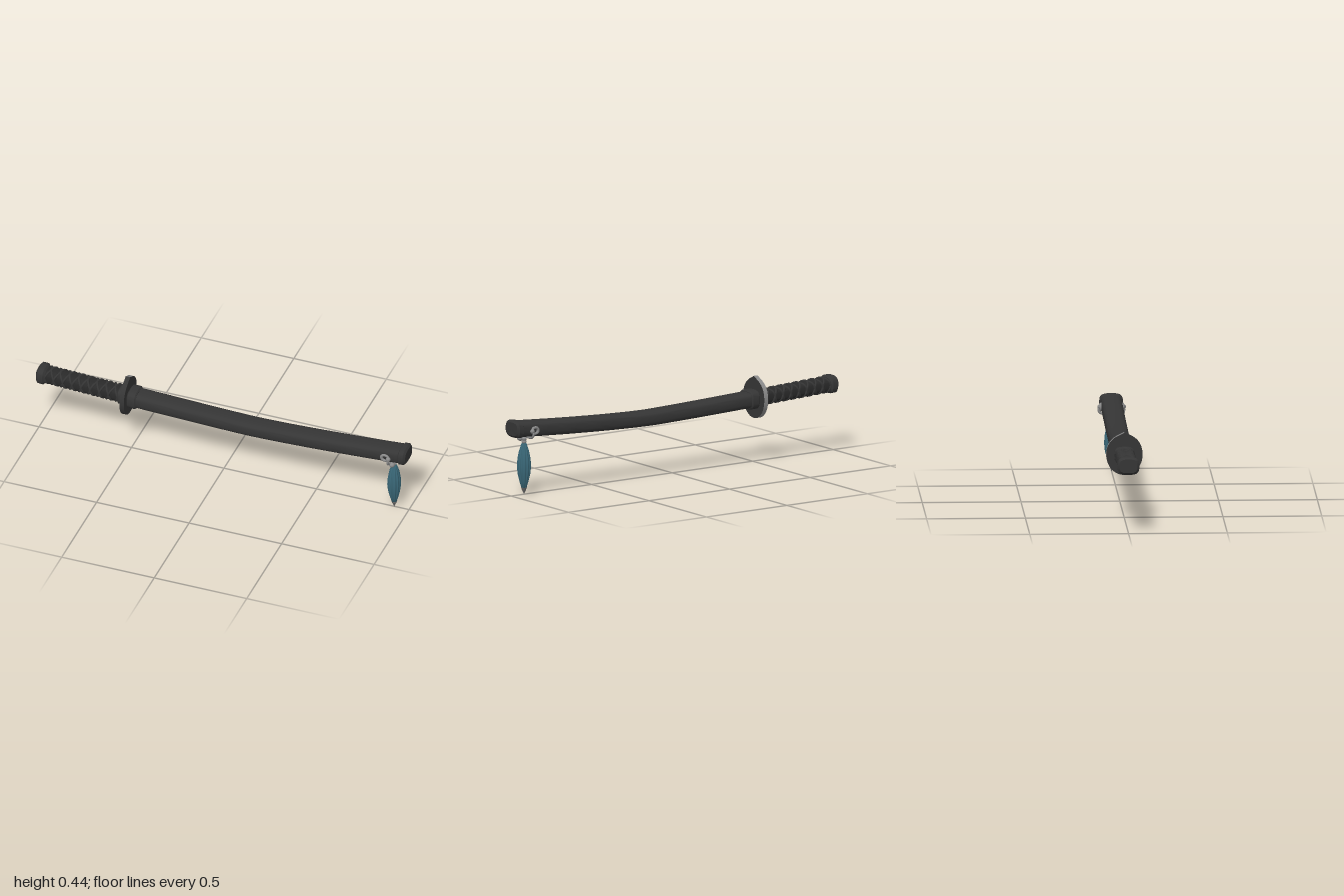
import * as THREE from 'three';
import { toCreasedNormals } from 'three/addons/utils/BufferGeometryUtils.js';

const mat = (name, color, side = THREE.FrontSide) => {
  const m = new THREE.MeshStandardMaterial({ color, side });
  m.name = name;
  return m;
};

// height of the curved centre line at x
const centreY = (x) => x < 0.15
  ? 0.304 + 0.0344 * Math.pow(0.15 - x, 1.25)
  : 0.304 + 0.0536 * Math.pow(x - 0.15, 1.5);

// point on a rounded rectangular cross-section
function sectionPoint(x, angle, halfH, halfW, power = 3.2) {
  const c = Math.cos(angle), s = Math.sin(angle);
  const z = Math.sign(c) * Math.pow(Math.abs(c), 2 / power) * halfW;
  const y = Math.sign(s) * Math.pow(Math.abs(s), 2 / power) * halfH;
  return new THREE.Vector3(x, centreY(x) + y, z);
}

// skin through sections [x, halfHeight, halfWidth], closed at both ends
function loft(sections, crease = 0.7) {
  const n = 32, pos = [], index = [];
  const first = sections[0], last = sections[sections.length - 1];
  const rings = [[first[0], 0, 0], ...sections, [last[0], 0, 0]];
  rings.forEach(([x, h, w]) => {
    for (let j = 0; j < n; j++) pos.push(...sectionPoint(x, (j / n) * Math.PI * 2, h, w).toArray());
  });
  for (let i = 0; i < rings.length - 1; i++) {
    for (let j = 0; j < n; j++) {
      const k = (j + 1) % n, a = i * n + j, b = a + n, c = i * n + k, d = c + n;
      index.push(a, b, c, c, b, d);
    }
  }
  const g = new THREE.BufferGeometry();
  g.setAttribute('position', new THREE.Float32BufferAttribute(pos, 3));
  g.setIndex(index);
  return toCreasedNormals(g, crease);
}

// band with softened edges
const band = (x0, x1, h, w, b = 0.006) => loft([
  [x0, h - b, w - b], [x0 + b, h, w], [x1 - b, h, w], [x1, h - b, w - b],
]);

export function createModel() {
  const group = new THREE.Group();
  const black = mat('charcoal lacquer', 0x353535);
  const core = mat('dark grip', 0x2a2a2a);
  const grey = mat('grey cord', 0x8a8a8a);
  const tip = mat('tassel tip grey', 0x6c6c6c);
  const teal = mat('teal tassel', 0x3a6878);
  const add = (name, geometry, material, parent = group) => {
    const m = new THREE.Mesh(geometry, material);
    m.name = name;
    parent.add(m);
    return m;
  };

  // sheath and its fittings
  const sheath = [];
  for (let i = 0; i <= 30; i++) sheath.push([-0.47 + (1.44 * i) / 30, 0.0385 + 0.002 * Math.abs(i - 15) / 15, 0.054]);
  add('sheath', loft(sheath), black);
  add('sheathMouth', band(-0.507, -0.458, 0.049, 0.06), black);
  add('sheathEndCap', band(0.953, 0.998, 0.044, 0.06, 0.01), black);

  // handle core and fittings
  const grip = [];
  for (let i = 0; i <= 10; i++) grip.push([-0.97 + 0.044 * i, 0.036, 0.042]);
  add('gripCore', loft(grip), core);
  add('pommel', band(-1, -0.952, 0.045, 0.055, 0.01), black);
  add('handleCollar', band(-0.562, -0.528, 0.043, 0.052), black);

  // crossing wraps on the handle
  const wraps = new THREE.Group();
  wraps.name = 'handleWraps';
  group.add(wraps);
  for (const dir of [-1, 1]) {
    for (const start of [0, Math.PI]) {
      const pts = [];
      for (let i = 0; i <= 96; i++) {
        const t = i / 96;
        pts.push(sectionPoint(-0.955 + 0.395 * t, start + dir * t * 4 * Math.PI * 2, 0.036, 0.0425, 2.8));
      }
      add('wrap', new THREE.TubeGeometry(new THREE.CatmullRomCurve3(pts), 200, 0.0065, 6), black, wraps);
    }
  }

  // egg-shaped guard with a pointed top, its back rim bare metal
  const s = new THREE.Shape();
  s.moveTo(0, 0.44);
  s.bezierCurveTo(0.022, 0.424, 0.092, 0.412, 0.092, 0.328);
  s.bezierCurveTo(0.092, 0.268, 0.052, 0.223, 0, 0.223);
  s.bezierCurveTo(-0.052, 0.223, -0.092, 0.268, -0.092, 0.328);
  s.bezierCurveTo(-0.092, 0.412, -0.022, 0.424, 0, 0.44);
  const guard = new THREE.ExtrudeGeometry(s, { depth: 0.024, bevelEnabled: false, curveSegments: 20 });
  const gp = guard.attributes.position, gn = guard.attributes.normal;
  guard.clearGroups();
  for (let i = 0; i < gp.count; i += 3) {
    const backRim = Math.abs(gn.getZ(i)) < 0.5 && gp.getX(i) + gp.getX(i + 1) + gp.getX(i + 2) > 0;
    guard.addGroup(i, 3, backRim ? 1 : 0);
  }
  guard.rotateY(Math.PI / 2);
  guard.translate(-0.531, 0, 0);
  add('guard', guard, [black, grey]);

  // cord slung under the sheath, with a ring and knot on each side
  const cord = new THREE.Group();
  cord.name = 'cord';
  group.add(cord);
  const sling = [[0.34, 0.058], [0.315, 0.063], [0.299, 0.055], [0.296, 0], [0.299, -0.052], [0.312, -0.066], [0.34, -0.062]]
    .map(([y, z]) => new THREE.Vector3(0.908, y, z));
  add('sling', new THREE.TubeGeometry(new THREE.CatmullRomCurve3(sling), 48, 0.006, 8), grey, cord);
  for (const side of [-1, 1]) {
    const ring = add('sideRing', new THREE.TorusGeometry(0.016, 0.007, 8, 20), grey, cord);
    ring.position.set(0.89, 0.334, side * 0.055);
    ring.scale.set(1.15, 1, 1);
    const knot = add('sideKnot', new THREE.SphereGeometry(0.012, 14, 10), grey, cord);
    knot.position.set(0.91, 0.333, side * 0.06);
  }
  const knots = [[0.92, 0.284, 0.033, 0.016], [0.92, 0.287, -0.002, 0.013], [0.92, 0.271, 0, 0.013]];
  for (const [x, y, z, r] of knots) {
    const k = add('hangingKnot', new THREE.SphereGeometry(r, 14, 10), grey, cord);
    k.position.set(x, y, z);
    k.scale.y = 0.85;
  }

  // fluted spindle tassel
  const profile = [[0, 0.034], [0.013, 0.034], [0.023, 0.065], [0.033, 0.105], [0.037, 0.145],
    [0.034, 0.185], [0.026, 0.225], [0.015, 0.258], [0.009, 0.268], [0, 0.268]];
  const tassel = new THREE.LatheGeometry(profile.map(([r, y]) => new THREE.Vector2(r, y)), 72);
  const tp = tassel.attributes.position;
  for (let i = 0; i < tp.count; i++) {
    const a = Math.atan2(tp.getZ(i), tp.getX(i));
    const f = 0.97 + 0.07 * Math.cos(12 * a);
    tp.setXYZ(i, tp.getX(i) * f * 0.92, tp.getY(i), tp.getZ(i) * f);
  }
  tassel.computeVertexNormals();
  add('tassel', tassel, teal).position.x = 0.92;
  const cone = add('tasselTip', new THREE.ConeGeometry(0.0155, 0.035, 20), tip);
  cone.rotation.x = Math.PI;
  cone.position.set(0.92, 0.0175, 0);

  return group;
}
